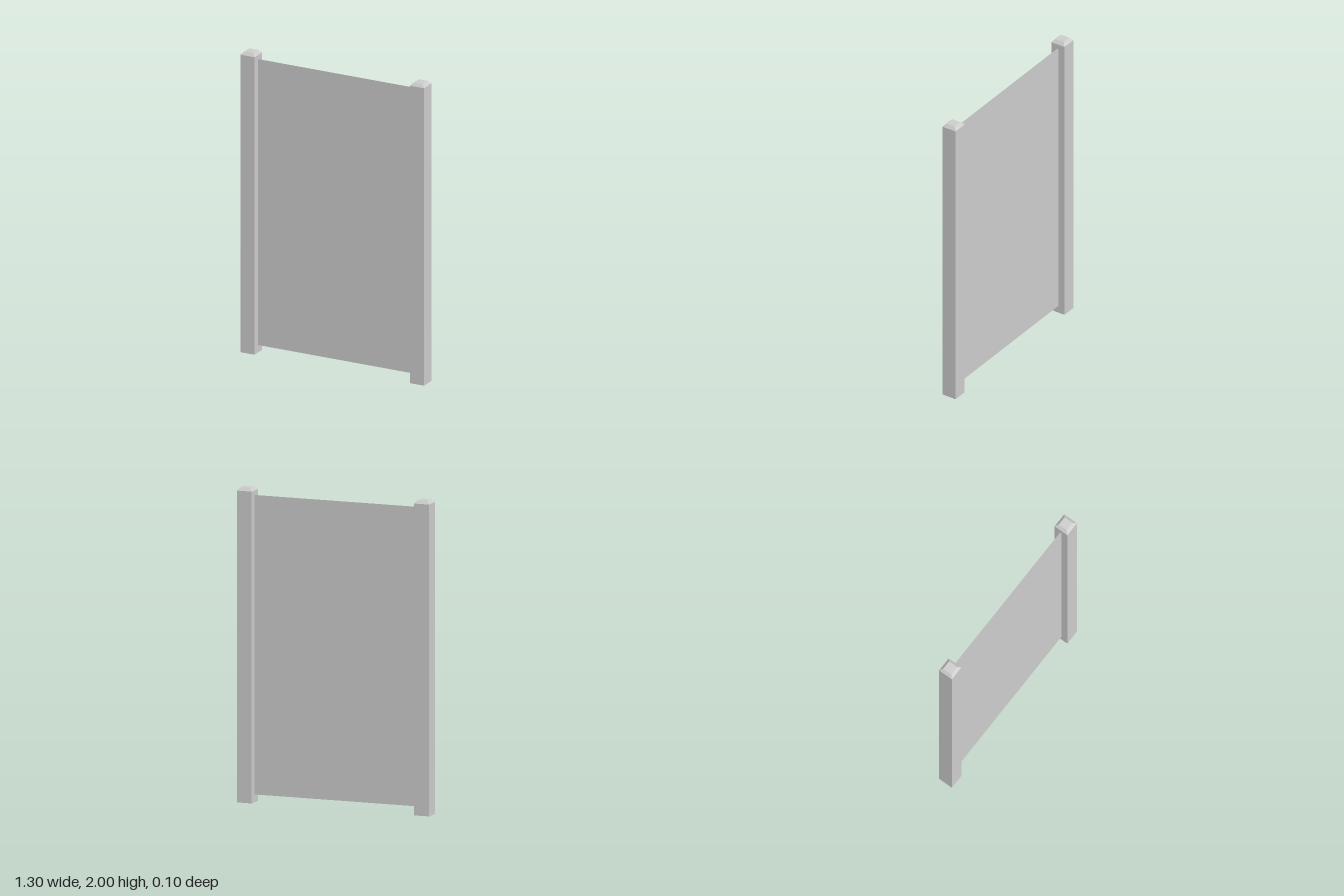
import * as THREE from 'three';

const HEIGHT = 2, SHOULDER = 1.98, WIDTH = 0.1, CAP = 0.062;

// Square post whose top is chamfered to a smaller flat square
function postGeometry() {
  const geo = new THREE.BoxGeometry(WIDTH, HEIGHT, WIDTH, 1, 2, 1).translate(0, HEIGHT / 2, 0);
  const pos = geo.attributes.position;
  for (let i = 0; i < pos.count; i++) {
    const y = pos.getY(i);
    if (y > HEIGHT - 0.01) {
      pos.setX(i, pos.getX(i) * CAP / WIDTH);
      pos.setZ(i, pos.getZ(i) * CAP / WIDTH);
    } else if (y > 0.5) {
      pos.setY(i, SHOULDER);
    }
  }
  const flat = geo.toNonIndexed();
  flat.computeVertexNormals();
  return flat;
}

export function createModel() {
  const model = new THREE.Group();
  model.name = 'panelBetweenPosts';
  const postMaterial = new THREE.MeshStandardMaterial({ color: 0xcccccc, flatShading: true });
  const panelMaterial = new THREE.MeshStandardMaterial({ color: 0xcccccc, side: THREE.DoubleSide });

  // Posts at both ends
  const post = postGeometry();
  for (const [name, x] of [['leftPost', 0.6], ['rightPost', -0.6]]) {
    const mesh = new THREE.Mesh(post, postMaterial);
    mesh.name = name;
    mesh.position.x = x;
    model.add(mesh);
  }

  // Thin panel: a front and a back sheet with open edges
  const sheet = new THREE.PlaneGeometry(1.1, 1.9);
  for (const [name, z, turn] of [['frontPanel', 0.004, 0], ['backPanel', -0.004, Math.PI]]) {
    const mesh = new THREE.Mesh(sheet, panelMaterial);
    mesh.name = name;
    mesh.position.set(0, 1, z);
    mesh.rotation.y = turn;
    model.add(mesh);
  }
  return model;
}
